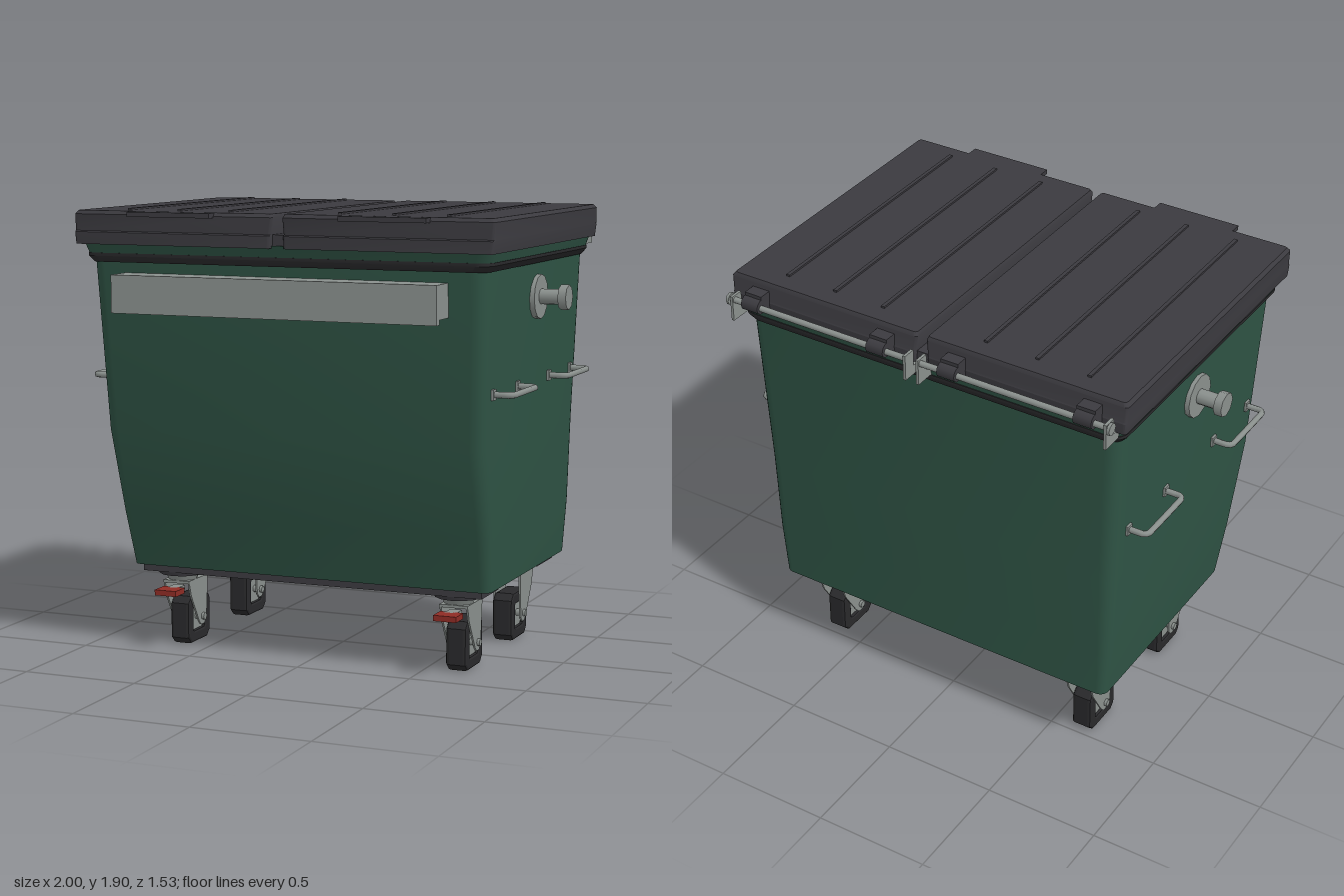
import * as THREE from 'three';
import { toCreasedNormals } from 'three/addons/utils/BufferGeometryUtils.js';

const mat = (name, color) => {
  const m = new THREE.MeshStandardMaterial({ color });
  m.name = name;
  return m;
};

// Closed loft through rounded rectangles [y, x0, x1, z0, z1, cornerRadius]
function loft(sections) {
  const pos = [], idx = [], seg = 5, n = 4 * (seg + 1);
  for (const [y, x0, x1, z0, z1, r] of sections) {
    const corners = [[x1 - r, z1 - r], [x0 + r, z1 - r], [x0 + r, z0 + r], [x1 - r, z0 + r]];
    corners.forEach(([cx, cz], q) => {
      for (let k = 0; k <= seg; k++) {
        const a = (q + k / seg) * Math.PI / 2;
        pos.push(cx + r * Math.cos(a), y, cz + r * Math.sin(a));
      }
    });
  }
  for (let s = 0; s < sections.length - 1; s++) {
    for (let i = 0; i < n; i++) {
      const a = s * n + i, b = s * n + (i + 1) % n;
      idx.push(a, a + n, b, b, a + n, b + n);
    }
  }
  const top = (sections.length - 1) * n;
  for (let i = 1; i < n - 1; i++) {
    idx.push(0, i, i + 1, top, top + i + 1, top + i);
  }
  const g = new THREE.BufferGeometry();
  g.setAttribute('position', new THREE.Float32BufferAttribute(pos, 3));
  g.setIndex(idx);
  return toCreasedNormals(g, 0.6);
}

export function createModel() {
  const root = new THREE.Group();
  root.name = 'wasteContainer';
  const green = mat('green body', 0x2f5445);
  const dark = mat('dark plastic', 0x3b3a3f);
  const rubber = mat('black rubber', 0x29292b);
  const steel = mat('grey steel', 0x8a908d);
  const red = mat('red brake', 0x8f2c25);

  const add = (parent, name, geo, m, x = 0, y = 0, z = 0) => {
    const mesh = new THREE.Mesh(geo, m);
    mesh.name = name;
    mesh.position.set(x, y, z);
    parent.add(mesh);
    return mesh;
  };
  // Box given by its limits
  const box = (parent, name, m, x0, x1, y0, y1, z0, z1) => add(parent, name,
    new THREE.BoxGeometry(Math.abs(x1 - x0), y1 - y0, z1 - z0), m,
    (x0 + x1) / 2, (y0 + y1) / 2, (z0 + z1) / 2);
  // Cylinder lying along x between two limits
  const rod = (parent, name, m, x0, x1, y, z, r, sides = 12) => {
    const c = add(parent, name, new THREE.CylinderGeometry(r, r, Math.abs(x1 - x0), sides), m, (x0 + x1) / 2, y, z);
    c.rotation.z = Math.PI / 2;
    return c;
  };

  // Tapered tub with a sloping lower front, trim band and flared rim
  add(root, 'tub', loft([
    [0.365, -0.81, 0.81, -0.605, 0.41, 0.04],
    [0.6, -0.828, 0.828, -0.615, 0.477, 0.05],
    [0.97, -0.84, 0.84, -0.625, 0.585, 0.06],
    [1.69, -0.865, 0.865, -0.65, 0.643, 0.06]]), green);
  add(root, 'trimBand', loft([
    [1.68, -0.87, 0.87, -0.655, 0.65, 0.06],
    [1.705, -0.888, 0.888, -0.67, 0.665, 0.06],
    [1.718, -0.888, 0.888, -0.67, 0.665, 0.06]]), rubber);
  add(root, 'rim', loft([
    [1.71, -0.883, 0.883, -0.665, 0.66, 0.06],
    [1.765, -0.9, 0.9, -0.675, 0.68, 0.06]]), green);
  box(root, 'lidSeam', dark, -0.05, 0.05, 1.755, 1.81, -0.67, 0.67);

  for (const s of [-1, 1]) {
    // Lid half with ribs and a grip
    const lid = new THREE.Group();
    lid.name = s > 0 ? 'leftLid' : 'rightLid';
    root.add(lid);
    const shell = [[1.755, 0.028, 0.91, -0.68, 0.695, 0], [1.805, 0.026, 0.915, -0.685, 0.695, 0],
      [1.81, 0.026, 0.915, -0.682, 0.688, 0], [1.878, 0.02, 0.917, -0.68, 0.688, 0],
      [1.893, 0.026, 0.905, -0.67, 0.677, 0]];
    add(lid, 'lidShell', loft(shell.map(([y, a, b, z0, z1]) =>
      [y, s > 0 ? a : -b, s > 0 ? b : -a, z0, z1, 0.015])), dark);
    for (const x of [0.24, 0.47, 0.7]) {
      box(lid, 'lidRib', dark, s * (x - 0.008), s * (x + 0.008), 1.885, 1.901, -0.59, 0.61);
    }
    box(lid, 'lidGrip', dark, s * 0.28, s * 0.65, 1.872, 1.892, 0.67, 0.73);

    // Hinge rod, lugs and end brackets
    const hinge = new THREE.Group();
    hinge.name = 'hinge';
    root.add(hinge);
    rod(hinge, 'hingeRod', steel, s * 0.03, s * 0.885, 1.81, -0.74, 0.013);
    for (const x of [0.165, 0.77]) {
      box(hinge, 'hingeLug', dark, s * (x - 0.04), s * (x + 0.04), 1.785, 1.86, -0.735, -0.67);
      rod(hinge, 'hingeKnuckle', dark, s * (x - 0.04), s * (x + 0.04), 1.815, -0.735, 0.032, 10);
    }
    for (const x of [0.03, 0.865]) {
      box(hinge, 'hingeBracket', steel, s * (x - 0.006), s * (x + 0.006), 1.72, 1.83, -0.757, -0.7);
      box(hinge, 'bracketArm', steel, s * (x - 0.006), s * (x + 0.006), 1.72, 1.76, -0.71, -0.66);
    }
    rod(hinge, 'hingeCap', steel, s * 0.875, s * 0.887, 1.81, -0.74, 0.026, 8);

    // Lifting trunnion
    const trunnion = new THREE.Group();
    trunnion.name = 'trunnion';
    root.add(trunnion);
    rod(trunnion, 'flange', steel, s * 0.85, s * 0.88, 1.54, -0.01, 0.093, 12);
    rod(trunnion, 'shaft', steel, s * 0.87, s * 0.97, 1.54, -0.01, 0.032, 12);
    rod(trunnion, 'endCap', steel, s * 0.965, s, 1.54, -0.01, 0.052, 8);

    // Two bent grab handles on each side
    for (const z of [0.35, -0.365]) {
      const path = new THREE.CatmullRomCurve3([[0.84, -0.15], [0.91, -0.15], [0.932, -0.13],
        [0.932, 0.13], [0.91, 0.15], [0.84, 0.15]].map(([x, dz]) =>
        new THREE.Vector3(s * x, 1.19, z + dz)), false, 'catmullrom', 0.15);
      add(root, 'grabHandle', new THREE.TubeGeometry(path, 32, 0.013, 8), steel);
      for (const e of [-0.152, 0.152]) {
        box(root, 'handlePlate', steel, s * 0.84, s * 0.858, 1.168, 1.212, z + e - 0.017, z + e + 0.017);
      }
    }
  }

  // Front lifting bar with a small downward lip
  box(root, 'liftingBar', steel, -0.708, 0.708, 1.5, 1.637, 0.625, 0.765);
  box(root, 'liftingBarLip', steel, -0.708, 0.708, 1.48, 1.5, 0.73, 0.765);

  // Rails beneath the tub
  for (const z of [0.285, -0.445]) {
    box(root, 'baseRail', dark, -0.77, 0.77, 0.335, 0.368, z - 0.105, z + 0.105);
  }

  // Blocky wheel outline with chamfered corners
  const outline = (Kind, h, c) => new Kind([[h, c - h], [h, h - c], [h - c, h], [c - h, h], [-h, h - c],
    [-h, c - h], [c - h, -h], [h - c, -h]].map(([x, y]) => new THREE.Vector2(x, y)));
  const tyreShape = outline(THREE.Shape, 0.094, 0.022);
  tyreShape.holes.push(outline(THREE.Path, 0.062, 0.012));
  const tyreGeo = new THREE.ExtrudeGeometry(tyreShape,
    { depth: 0.06, bevelSize: 0.01, bevelThickness: 0.015, bevelSegments: 2 });
  tyreGeo.translate(0, 0, -0.03).rotateY(Math.PI / 2);
  const hubGeo = new THREE.ExtrudeGeometry(outline(THREE.Shape, 0.063, 0.012), { depth: 0.06, bevelEnabled: false });
  hubGeo.translate(0, 0, -0.03).rotateY(Math.PI / 2);
  // Fork cheek; shape x runs towards -z after turning
  const cheekGeo = new THREE.ExtrudeGeometry(new THREE.Shape([[-0.065, 0.29], [0.115, 0.29], [0.115, 0.265],
    [0.1, 0.1], [0.08, 0.08], [0.05, 0.08], [0.03, 0.1], [-0.045, 0.225]].map(([x, y]) => new THREE.Vector2(x, y))),
    { depth: 0.008, bevelEnabled: false });
  cheekGeo.rotateY(Math.PI / 2);

  function caster(name, x, z, turn, brake) {
    const g = new THREE.Group();
    g.name = name;
    g.position.set(x, 0, z);
    g.rotation.y = turn;
    root.add(g);
    add(g, 'mountPlate', new THREE.CylinderGeometry(0.105, 0.1, 0.02, 12), dark, 0, 0.328, 0);
    add(g, 'swivel', new THREE.CylinderGeometry(0.075, 0.06, 0.035, 12), steel, 0, 0.305, 0);
    box(g, 'forkCrown', steel, -0.062, 0.062, 0.28, 0.292, -0.115, 0.065);
    for (const dx of [-0.062, 0.054]) add(g, 'forkCheek', cheekGeo, steel, dx, 0, 0);
    add(g, 'tyre', tyreGeo, rubber, 0, 0.109, -0.07);
    add(g, 'hub', hubGeo, steel, 0, 0.109, -0.07);
    rod(g, 'axle', steel, -0.074, 0.074, 0.115, -0.065, 0.016, 8);
    if (brake) {
      box(g, 'brakeArm', steel, -0.025, 0.025, 0.25, 0.268, 0.03, 0.1);
      box(g, 'brakePedal', red, -0.05, 0.05, 0.244, 0.268, 0.085, 0.17);
    }
  }
  for (const s of [-1, 1]) {
    caster('frontCaster', s * 0.635, 0.285, 0, true);
    caster('rearCaster', s * 0.635, -0.445, Math.PI, false);
  }
  return root;
}
